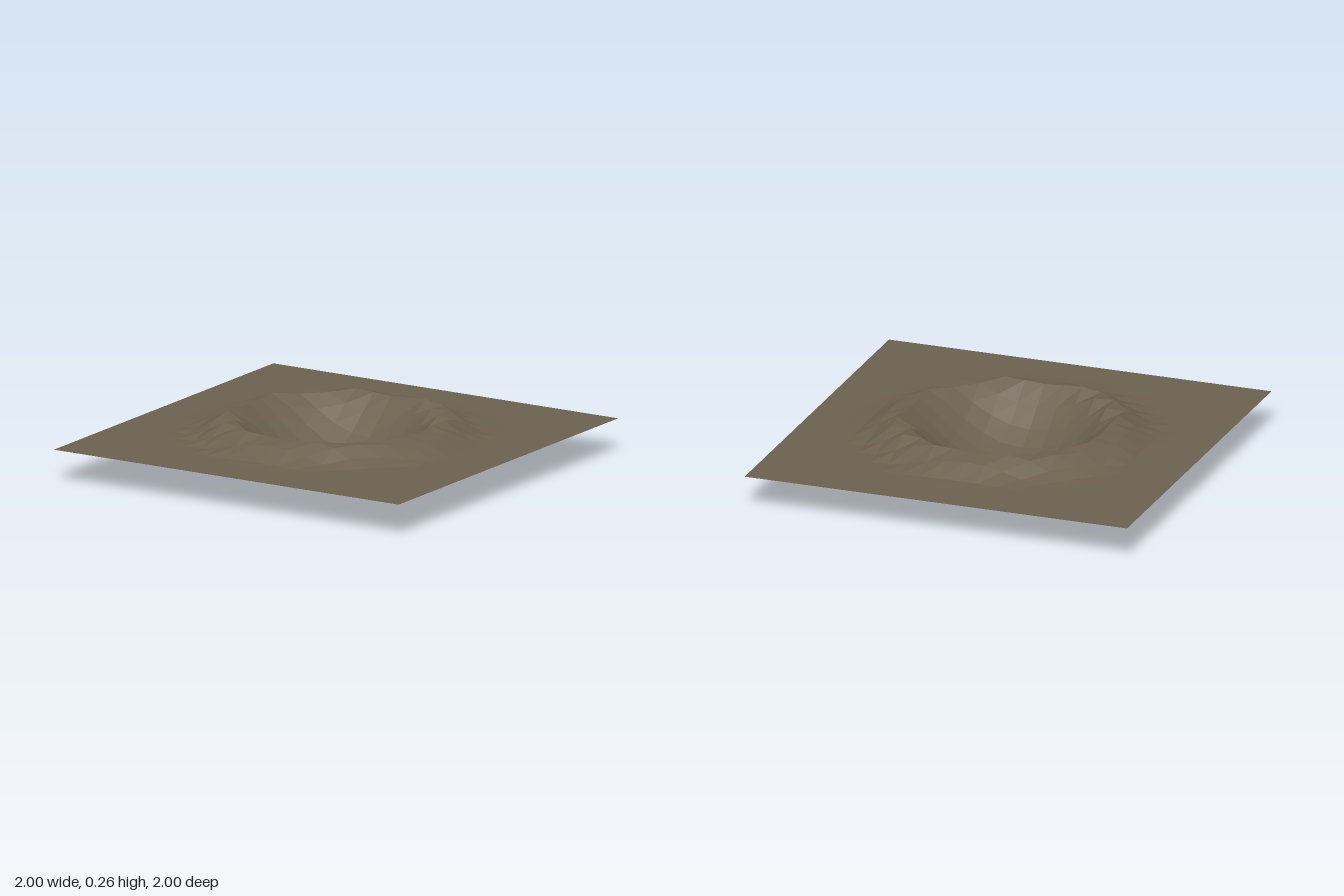
import * as THREE from 'three';

// Height of the ground by distance from the crater centre: bowl, rim, outer slope, plain
const PROFILE = [
  [0, 0], [0.1, 0.003], [0.2, 0.023], [0.3, 0.082], [0.4, 0.165], [0.5, 0.25],
  [0.545, 0.262], [0.6, 0.235], [0.65, 0.197], [0.7, 0.173], [0.8, 0.167], [2, 0.167],
];

// Smooth cubic interpolation through the profile points
function heightAt(r) {
  const slope = (i) => {
    if (i === 0 || i >= PROFILE.length - 2) return 0;
    const [a, b] = [PROFILE[i - 1], PROFILE[i + 1]];
    return (b[1] - a[1]) / (b[0] - a[0]);
  };
  let i = 0;
  while (i < PROFILE.length - 2 && r > PROFILE[i + 1][0]) i++;
  const [r0, h0] = PROFILE[i], [r1, h1] = PROFILE[i + 1];
  const d = r1 - r0, t = (r - r0) / d, t2 = t * t, t3 = t2 * t;
  return (2 * t3 - 3 * t2 + 1) * h0 + (t3 - 2 * t2 + t) * d * slope(i)
    + (3 * t2 - 2 * t3) * h1 + (t3 - t2) * d * slope(i + 1);
}

export function createModel() {
  const group = new THREE.Group();
  group.name = 'crater';

  const earth = new THREE.MeshStandardMaterial({ color: 0x6b604e, side: THREE.DoubleSide });
  earth.name = 'brown earth';

  // Square sheet of ground, pushed into a crater with a raised rim
  const sheet = new THREE.PlaneGeometry(2, 2, 20, 20);
  sheet.rotateX(-Math.PI / 2);
  const pos = sheet.attributes.position;
  for (let i = 0; i < pos.count; i++) {
    pos.setY(i, heightAt(Math.hypot(pos.getX(i), pos.getZ(i))));
  }

  // Separate faces for a faceted look
  const faceted = sheet.toNonIndexed();
  faceted.computeVertexNormals();

  const ground = new THREE.Mesh(faceted, earth);
  ground.name = 'craterGround';
  group.add(ground);
  return group;
}
